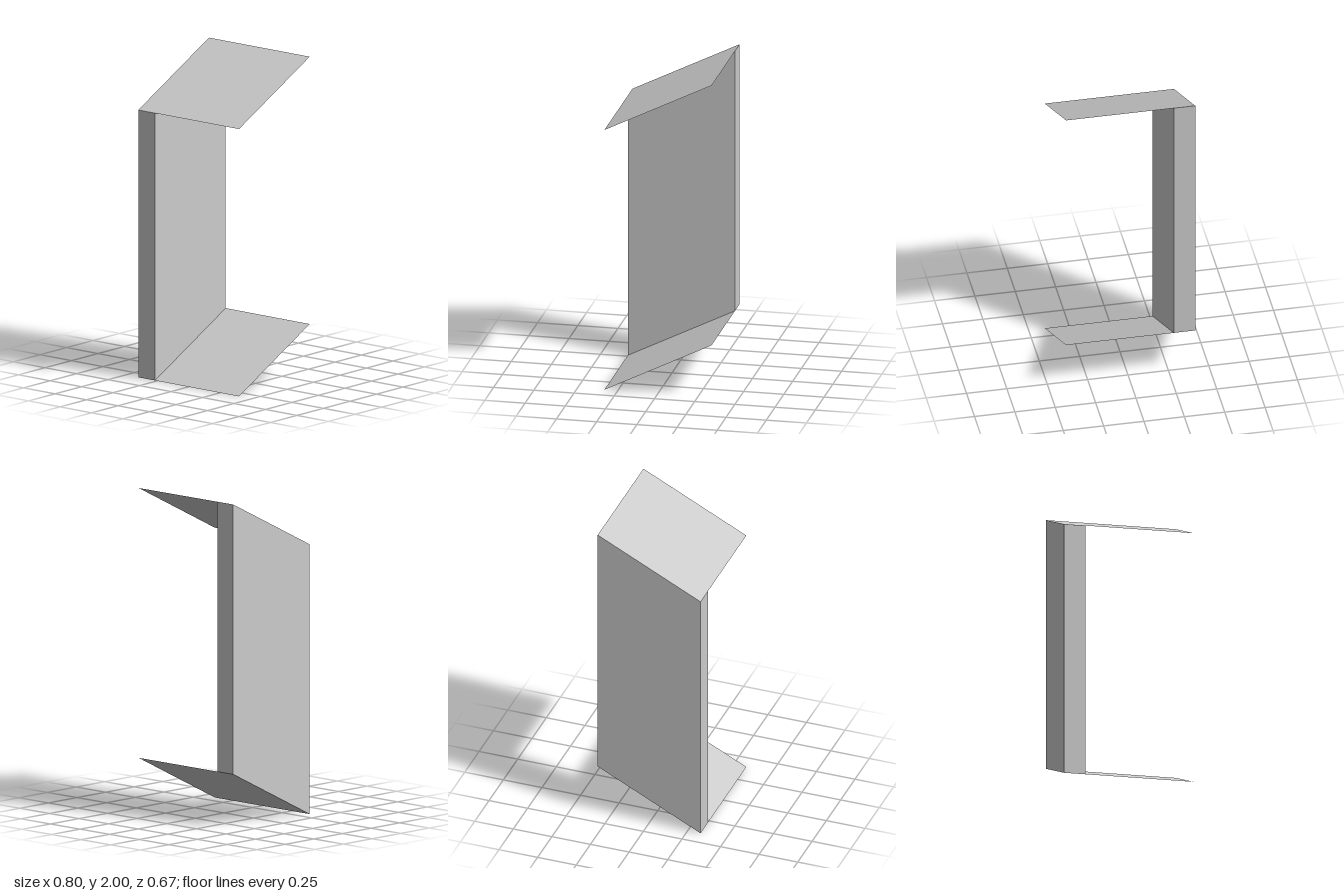
import * as THREE from 'three';

const WIDTH = 0.8, DEPTH = 2 / 3, RISE = 1 / 3, HEIGHT = 5 / 3, WALL = 0.133;

// Slope a geometry so that it climbs by RISE from front to back
function slope(geometry) {
  const p = geometry.attributes.position;
  for (let i = 0; i < p.count; i++) {
    p.setY(i, p.getY(i) + RISE * (0.5 - p.getZ(i) / DEPTH));
  }
  geometry.computeVertexNormals();
  return geometry;
}

export function createModel() {
  const group = new THREE.Group();
  const material = new THREE.MeshStandardMaterial({
    color: 0xcccccc, flatShading: true, side: THREE.DoubleSide,
  });
  const add = (name, geometry) => {
    const mesh = new THREE.Mesh(slope(geometry), material);
    mesh.name = name;
    group.add(mesh);
  };

  // Thin sloping panels, one at the bottom and one at the top
  for (const [name, y] of [['bottomPanel', 0], ['topPanel', HEIGHT]]) {
    add(name, new THREE.PlaneGeometry(WIDTH, DEPTH).rotateX(-Math.PI / 2).translate(0, y, 0));
  }

  // Upright side wall; the panels close its ends, so its caps are left out
  const wall = new THREE.BoxGeometry(WALL, HEIGHT, DEPTH)
    .translate((WALL - WIDTH) / 2, HEIGHT / 2, 0);
  const index = Array.from(wall.index.array);
  index.splice(12, 12);
  wall.setIndex(index);
  wall.clearGroups();
  add('sideWall', wall);

  return group;
}
